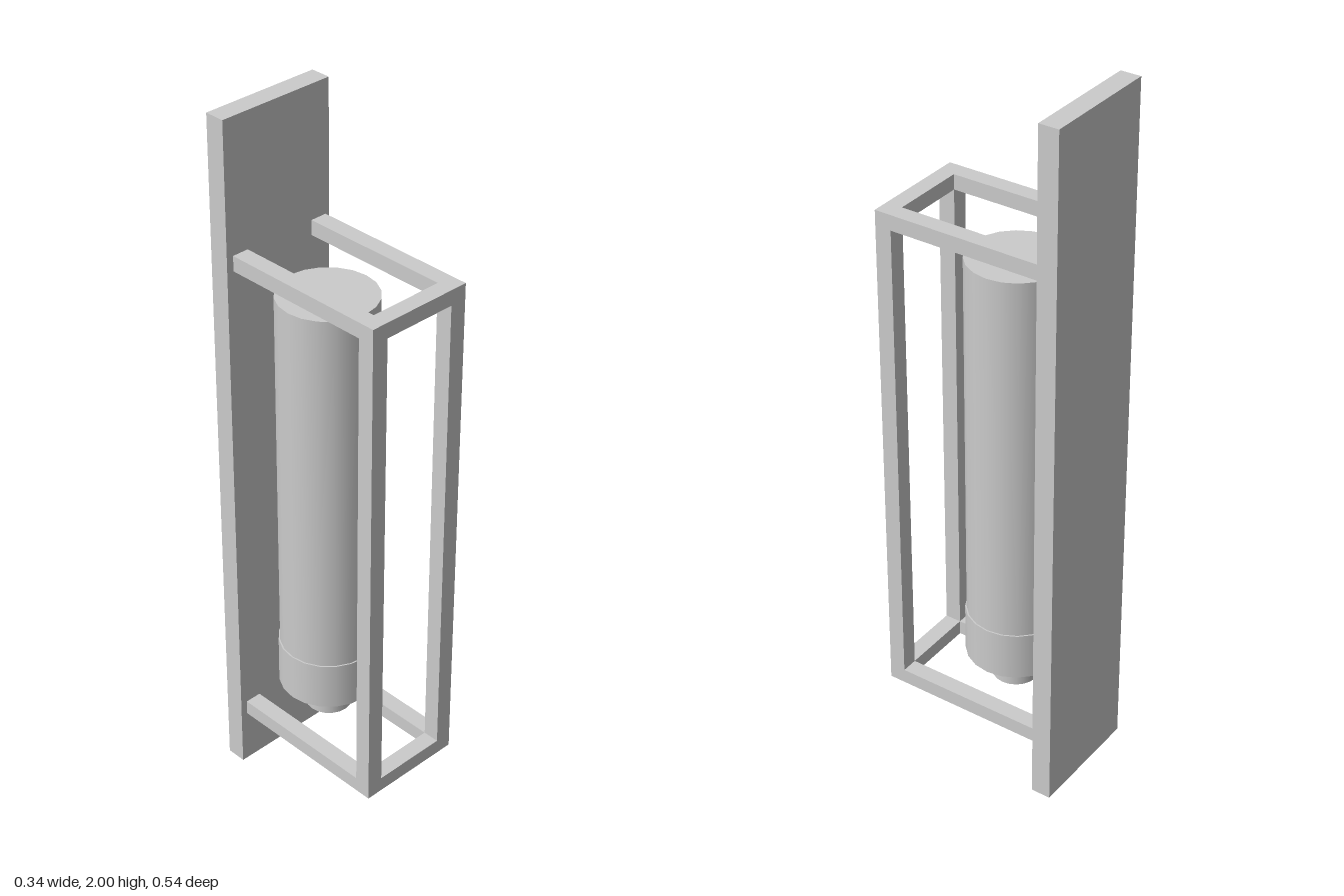
import * as THREE from 'three';

export function createModel() {
  const group = new THREE.Group();
  group.name = 'wallSconce';
  const material = new THREE.MeshStandardMaterial({ color: 0xcccccc });

  const add = (name, geometry, x, y, z) => {
    const mesh = new THREE.Mesh(geometry, material);
    mesh.name = name;
    mesh.position.set(x, y, z);
    group.add(mesh);
    return mesh;
  };

  // Wall plate
  const plateFront = -0.215;
  add('backPlate', new THREE.BoxGeometry(0.345, 2, 0.057), 0, 1, plateFront - 0.0285);

  // Rectangular front frame with an open middle
  const cx = 0.004, halfW = 0.156, bottom = 0.163, top = 1.63;
  const barX = 0.048, barY = 0.043, barZ = 0.047, front = 0.27;
  const rect = (P, w, y0, y1) => new P([
    new THREE.Vector2(-w, y0), new THREE.Vector2(w, y0),
    new THREE.Vector2(w, y1), new THREE.Vector2(-w, y1),
  ]);
  const frame = rect(THREE.Shape, halfW, bottom, top);
  frame.holes.push(rect(THREE.Path, halfW - barX, bottom + barY, top - barY));
  add('frontFrame', new THREE.ExtrudeGeometry(frame, { depth: barZ, bevelEnabled: false }),
    cx, 0, front - barZ);

  // Four arms from the frame corners back to the plate
  const armLength = front - barZ - plateFront;
  for (const side of [-1, 1]) {
    for (const y of [bottom + barY / 2, top - barY / 2]) {
      add('frameArm', new THREE.BoxGeometry(barX, barY, armLength),
        cx + side * (halfW - barX / 2), y, plateFront + armLength / 2);
    }
  }

  // Lamp: tall shade, holder cup and stem on one axis
  const lampX = 0.005, lampZ = -0.046;
  const round = (name, radius, y0, y1) => add(name,
    new THREE.CylinderGeometry(radius, radius, y1 - y0, 20), lampX, (y0 + y1) / 2, lampZ);
  round('shade', 0.134, 0.4, 1.53);
  round('shadeHolder', 0.138, 0.315, 0.455);
  round('stem', 0.065, 0.23, 0.315);

  // Round bracket joining the stem to the plate
  const bracketLength = lampZ - plateFront;
  const bracket = add('bracket', new THREE.CylinderGeometry(0.031, 0.031, bracketLength, 20),
    lampX, 0.278, plateFront + bracketLength / 2);
  bracket.rotation.x = Math.PI / 2;

  return group;
}
